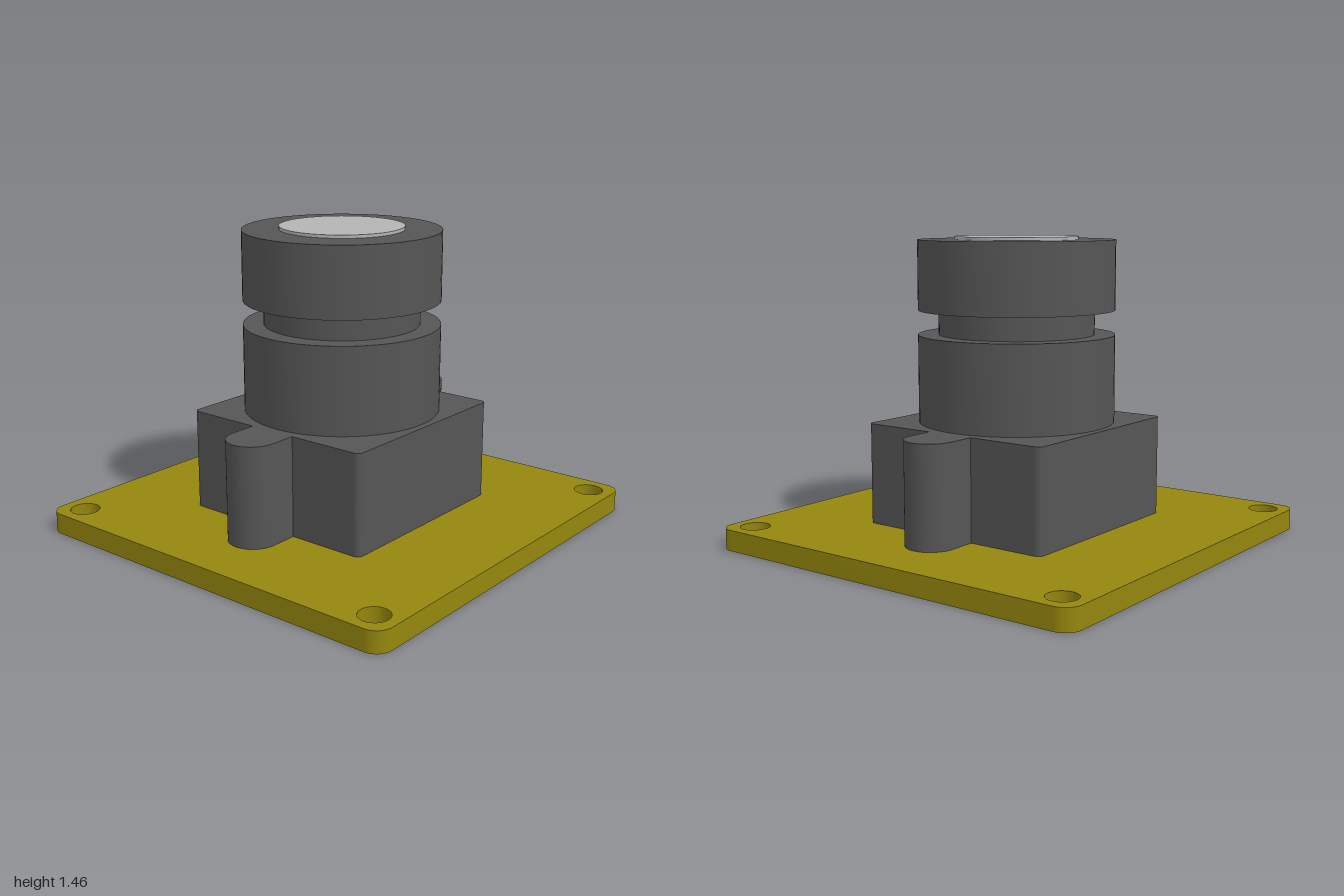
import * as THREE from 'three';
import { toCreasedNormals } from 'three/addons/utils/BufferGeometryUtils.js';

const material = (color) => new THREE.MeshStandardMaterial({ color });

function addPart(group, name, geometry, mat) {
  const mesh = new THREE.Mesh(toCreasedNormals(geometry, 0.5), mat);
  mesh.name = name;
  group.add(mesh);
}

// Extrude a plan outline upwards from y0 to y1
function slab(shape, y0, y1) {
  const geometry = new THREE.ExtrudeGeometry(shape, { depth: y1 - y0, bevelEnabled: false, curveSegments: 24 });
  return geometry.rotateX(-Math.PI / 2).translate(0, y0, 0);
}

// Square of half-size h with corner radius r; optional rounded ears on both x sides
function squareOutline(h, r, ear) {
  const s = new THREE.Shape();
  const c = h - r;
  s.moveTo(-c, -h);
  s.absarc(c, -c, r, -Math.PI / 2, 0);
  if (ear) {
    s.lineTo(h, -ear.r);
    s.absarc(ear.x, 0, ear.r, -Math.PI / 2, Math.PI / 2);
    s.lineTo(h, ear.r);
  }
  s.absarc(c, c, r, 0, Math.PI / 2);
  s.absarc(-c, c, r, Math.PI / 2, Math.PI);
  if (ear) {
    s.lineTo(-h, ear.r);
    s.absarc(-ear.x, 0, ear.r, Math.PI / 2, Math.PI * 1.5);
    s.lineTo(-h, -ear.r);
  }
  s.absarc(-c, -c, r, Math.PI, Math.PI * 1.5);
  return s;
}

export function createModel() {
  const model = new THREE.Group();
  model.name = 'cameraModule';
  const olive = material(0x94860e);
  const dark = material(0x555555);
  const glass = material(0xb4b4b4);

  // Circuit board with four mounting holes
  const board = squareOutline(1, 0.08);
  for (const x of [-0.88, 0.88]) {
    for (const z of [-0.88, 0.88]) {
      board.holes.push(new THREE.Path().absarc(x, z, 0.07, 0, Math.PI * 2, true));
    }
  }
  addPart(model, 'circuitBoard', slab(board, 0, 0.1), olive);

  // Lens mount with a screw ear on each side
  addPart(model, 'lensMount', slab(squareOutline(0.5, 0.03, { x: 0.63, r: 0.12 }), 0.1, 0.58), dark);

  // Stepped barrel with a groove below the focus ring
  const profile = [
    [0.467, 0.58], [0.467, 0.995], [0.37, 0.995], [0.37, 1.11],
    [0.467, 1.11], [0.467, 1.44], [0, 1.44],
  ].map(([x, y]) => new THREE.Vector2(x, y));
  addPart(model, 'lensBarrel', new THREE.LatheGeometry(profile, 72), dark);

  // Front glass standing slightly proud of the barrel
  addPart(model, 'lensGlass', new THREE.CylinderGeometry(0.293, 0.293, 0.035, 72).translate(0, 1.4375, 0), glass);

  return model;
}
